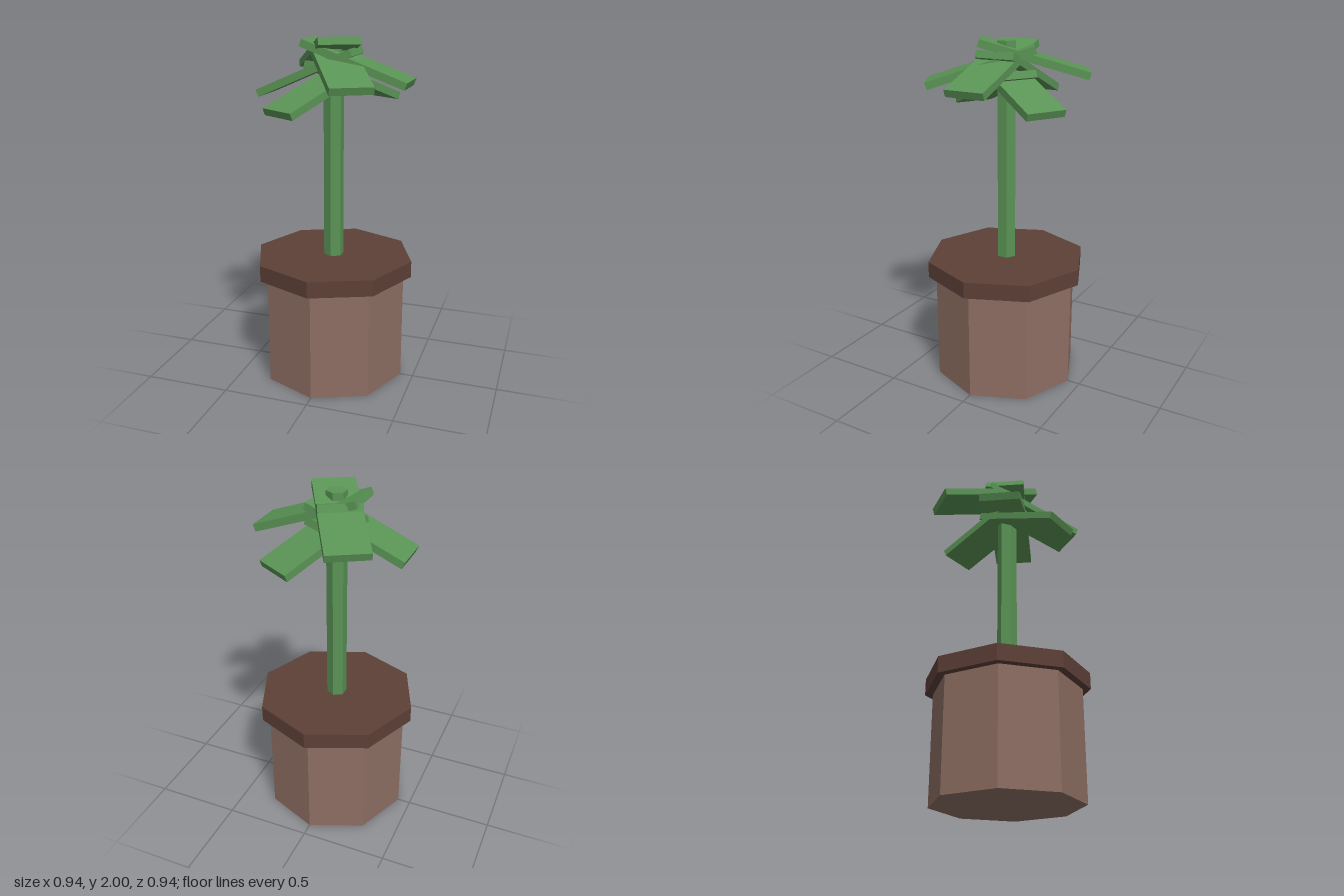
import * as THREE from 'three';

const pot = new THREE.MeshStandardMaterial({ color: 0x8d6e63, flatShading: true });
const rim = new THREE.MeshStandardMaterial({ color: 0x5d4037, flatShading: true });
const green = new THREE.MeshStandardMaterial({ color: 0x5a9455, flatShading: true });

// Upright prism between two heights
function prism(name, radius, y0, y1, sides, material) {
  const mesh = new THREE.Mesh(new THREE.CylinderGeometry(radius, radius, y1 - y0, sides), material);
  mesh.position.y = (y0 + y1) / 2;
  mesh.name = name;
  return mesh;
}

// Drooping slab leaf, placed by the reach and height of its outer top edge
function leaf(azimuth, reach, tipY, length, tiltDeg) {
  const thickness = 0.042, width = 0.235;
  const tilt = THREE.MathUtils.degToRad(tiltDeg);
  const s = Math.sin(tilt), c = Math.cos(tilt);
  const slab = new THREE.Mesh(new THREE.BoxGeometry(length, thickness, width), green);
  slab.name = 'leafBlade';
  slab.rotation.z = -tilt;
  slab.position.set(
    reach - (length / 2) * c - (thickness / 2) * s,
    tipY + (length / 2) * s - (thickness / 2) * c,
    0
  );
  const pivot = new THREE.Group();
  pivot.name = 'leaf';
  pivot.rotation.y = THREE.MathUtils.degToRad(azimuth);
  pivot.add(slab);
  return pivot;
}

export function createModel() {
  const plant = new THREE.Group();
  plant.name = 'pottedPlant';

  // Octagonal pot and rim, hexagonal stem
  plant.add(
    prism('pot', 0.425, 0, 0.65, 8, pot),
    prism('potRim', 0.47, 0.64, 0.735, 8, rim),
    prism('stem', 0.058, 0.72, 1.985, 6, green)
  );

  // Crown: azimuth, reach, tip height, length, droop in degrees
  const leaves = [
    [0, 0.44, 1.77, 0.624, 20],
    [60, 0.415, 1.662, 0.56, 21],
    [120, 0.4545, 1.825, 0.625, 16.3],
    [180, 0.422, 1.7, 0.595, 23.5],
    [240, 0.407, 1.63, 0.56, 21],
    [300, 0.441, 1.772, 0.62, 18],
  ];
  for (const spec of leaves) plant.add(leaf(...spec));

  return plant;
}
